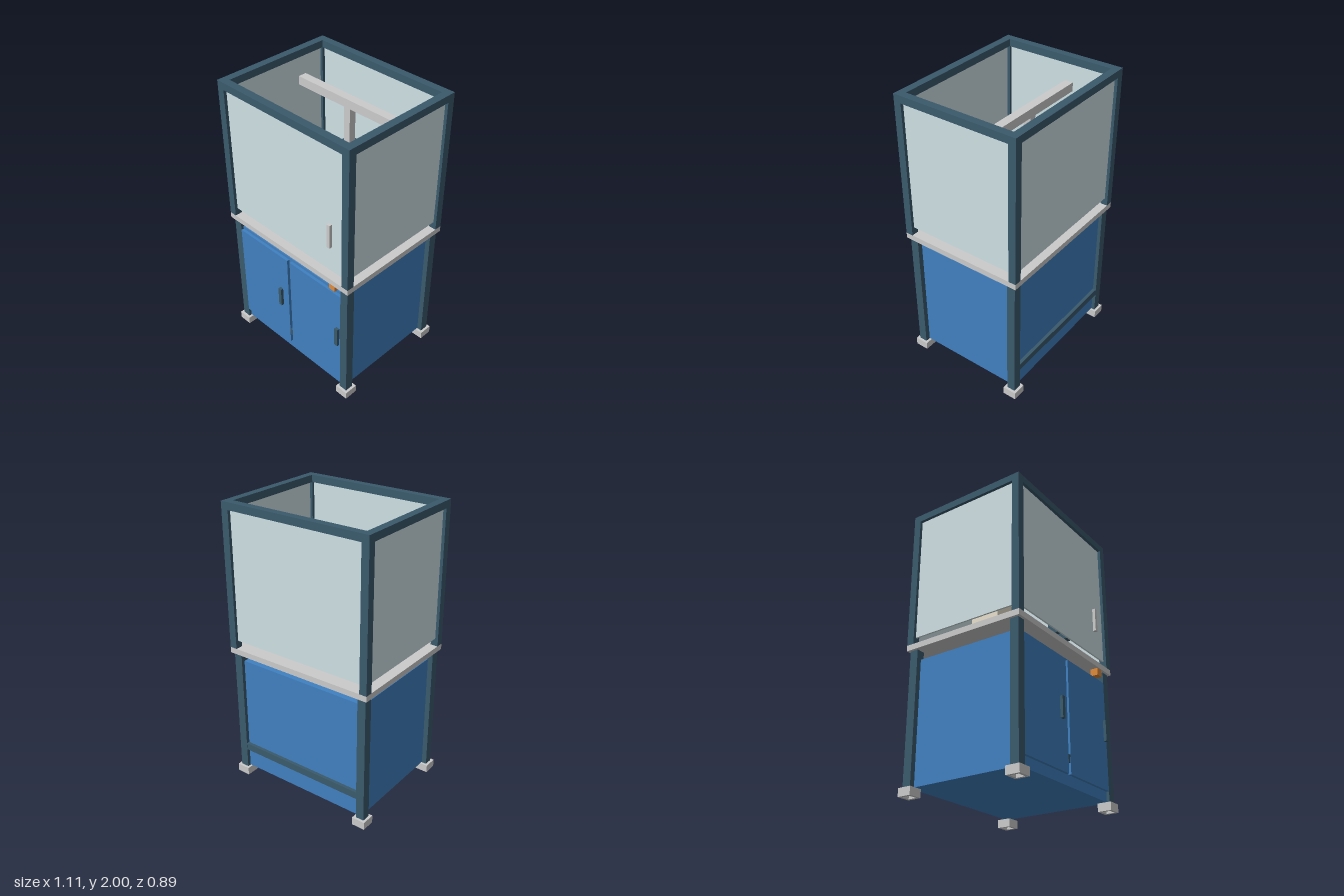
import * as THREE from 'three';

const mat = (color) => new THREE.MeshStandardMaterial({ color });

export function createModel() {
  const root = new THREE.Group();
  const grey = mat(0xcccccc), steel = mat(0x3a5a6c), blue = mat(0x4080c0);
  const glass = mat(0xcfe0e4), orange = mat(0xe08a3a), cream = mat(0xe8e0cc);

  // Box from its two extreme corners
  const box = (name, m, x0, x1, y0, y1, z0, z1) => {
    const mesh = new THREE.Mesh(new THREE.BoxGeometry(x1 - x0, y1 - y0, z1 - z0), m);
    mesh.position.set((x0 + x1) / 2, (y0 + y1) / 2, (z0 + z1) / 2);
    mesh.name = name;
    root.add(mesh);
    return mesh;
  };
  // Same box centred on a point in plan
  const post = (name, m, cx, cz, w, d, y0, y1) =>
    box(name, m, cx - w / 2, cx + w / 2, y0, y1, cz - d / 2, cz + d / 2);

  const W = 0.553, D = 0.443, T = 0.053;

  // Hollow square foot
  const footShape = new THREE.Shape([[-1, -1], [1, -1], [1, 1], [-1, 1]]
    .map(([x, y]) => new THREE.Vector2(x * 0.048, y * 0.048)));
  footShape.holes.push(new THREE.Path([[-1, -1], [-1, 1], [1, 1], [1, -1]]
    .map(([x, y]) => new THREE.Vector2(x * 0.03, y * 0.03))));
  const footGeo = new THREE.ExtrudeGeometry(footShape, { depth: 0.055, bevelEnabled: false });
  footGeo.rotateX(-Math.PI / 2);

  // Four corners: foot, leg and enclosure post
  for (const sx of [-1, 1]) for (const sz of [-1, 1]) {
    const foot = new THREE.Mesh(footGeo, grey);
    foot.name = 'foot';
    foot.position.set(sx * 0.505, 0, sz * 0.395);
    root.add(foot);
    post('leg', steel, sx * 0.505, sz * 0.395, 0.06, 0.06, 0.03, 0.96);
    post('enclosurePost', steel, sx * (W - T / 2), sz * (D - T / 2), T, T, 1, 2);
  }

  // Lower cabinet, rails and doors
  box('cabinetBody', blue, -0.5, 0.5, 0.058, 0.9, -0.4, 0.405);
  for (const s of [-1, 1]) {
    post('lowerRail', steel, 0, s * 0.405, 0.95, 0.037, 0.2, 0.25);
    post('cabinetDoor', blue, s * 0.2435, 0.4145, 0.463, 0.021, 0.127, 0.88);
  }
  for (const x of [-0.08, 0.455]) post('doorPull', steel, x, 0.435, 0.026, 0.02, 0.455, 0.6);

  // Table top with stop switch beneath
  box('tableTop', grey, -W, W, 0.96, 1, -D, D);
  box('stopSwitch', orange, 0.385, 0.436, 0.91, 0.96, 0.38, 0.435);

  // Enclosure top rails and wall panels
  for (const s of [-1, 1]) {
    post('topRailLong', steel, 0, s * (D - T / 2), 2 * (W - T), T, 1.95, 2);
    post('topRailShort', steel, s * (W - T / 2), 0, T, 2 * (D - T), 1.95, 2);
    post('longPanel', glass, 0, s * 0.416, 2 * (W - T), 0.012, 1.052, 1.95);
    post('sidePanel', glass, s * 0.526, 0, 0.012, 2 * (D - T), 1.052, 1.95);
  }
  box('enclosureHandle', grey, 0.376, 0.4, 1.24, 1.41, 0.42, 0.443);

  // Press inside the enclosure
  box('basePlate', grey, -0.322, 0.322, 1, 1.05, -0.258, 0.255);
  box('pressBody', cream, -0.133, 0.131, 1.05, 1.42, -0.248, -0.025);
  box('pressHead', steel, -0.1, 0.098, 1.05, 1.25, -0.025, 0.054);
  box('pressMotor', steel, -0.056, 0.054, 1.42, 1.55, -0.197, -0.075);
  for (const s of [-1, 1]) post('guidePin', grey, s * 0.133, 0.054, 0.027, 0.027, 1.05, 1.15);

  // Overhead beam on its column
  box('beamColumn', grey, -0.025, 0.025, 1.55, 1.81, -0.16, -0.11);
  box('overheadBeam', grey, -0.427, 0.425, 1.81, 1.87, -0.165, -0.105);

  // Control boxes on the left wall
  box('controlScreen', steel, 0.425, 0.46, 1.35, 1.55, 0.022, 0.243);
  box('controlBox', steel, 0.465, 0.518, 1.3, 1.6, 0.043, 0.288);

  return root;
}
